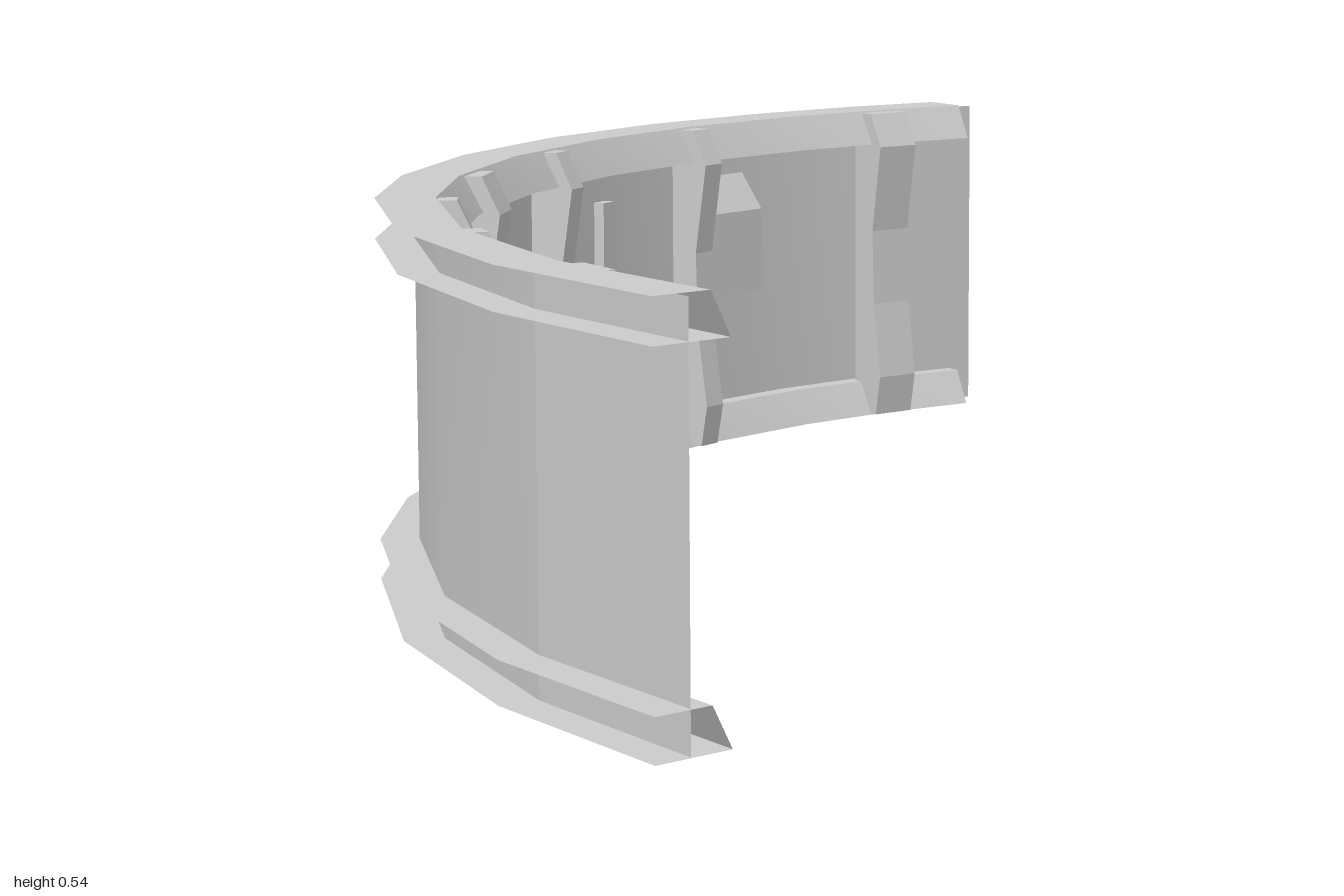
import * as THREE from 'three';

const CX = 0.78, CZ = 0.84; // centre of the arc
const RAD = Math.PI / 180;
// Bend angles, from the -x end round to the back
const BENDS = [8.4, 20.8, 33.8, 43.9, 54.3, 64.5, 74, 83, 90];

const surface = new THREE.MeshStandardMaterial({ color: 0xcccccc, side: THREE.DoubleSide });
const solid = new THREE.MeshStandardMaterial({ color: 0xcccccc, flatShading: true });

// Ribbon following the arc between two (radius, height) points
function strip(name, [r1, y1], [r2, y2], angles) {
  const pos = [], idx = [];
  angles.forEach((a, i) => {
    const c = Math.cos(a * RAD), s = Math.sin(a * RAD);
    pos.push(CX - r1 * c, y1, CZ - r1 * s, CX - r2 * c, y2, CZ - r2 * s);
    if (i > 0) {
      const k = 2 * i;
      idx.push(k - 2, k - 1, k, k, k - 1, k + 1);
    }
  });
  const geo = new THREE.BufferGeometry();
  geo.setAttribute('position', new THREE.Float32BufferAttribute(pos, 3));
  geo.setIndex(idx);
  geo.computeVertexNormals();
  const mesh = new THREE.Mesh(geo, surface);
  mesh.name = name;
  return mesh;
}

// Extruded (radius, height) profile set on the arc at a given angle
function fitting(name, profile, width, angle) {
  const shape = new THREE.Shape(profile.map(([r, y]) => new THREE.Vector2(r, y)));
  const geo = new THREE.ExtrudeGeometry(shape, { depth: width, bevelEnabled: false });
  geo.translate(0, 0, -width / 2);
  const mesh = new THREE.Mesh(geo, solid);
  mesh.name = name;
  mesh.position.set(CX, 0, CZ);
  mesh.rotation.y = Math.PI - angle * RAD;
  return mesh;
}

export function createModel() {
  const model = new THREE.Group();

  // Curved wall, with a hard fold at the first bend
  model.add(strip('wallEnd', [1.725, 0], [1.725, 0.535], [-2.8, BENDS[0]]));
  model.add(strip('wall', [1.725, 0], [1.725, 0.535], [...BENDS, 97.3]));

  // Top and bottom rails: open channels with a sloping inner face
  const railAngles = [-2.9, ...BENDS, 95.8];
  for (const [name, y] of [['bottomRail', 0], ['topRail', 0.483]]) {
    const rail = new THREE.Group();
    rail.name = name;
    const profile = [[1.78, y], [1.665, y], [1.695, y + 0.057], [1.78, y + 0.057]];
    for (let i = 0; i < 3; i++) rail.add(strip(name + 'Face', profile[i], profile[i + 1], railAngles));
    model.add(rail);
  }

  // Upright ribs with a waisted inner edge, every third one wide
  const ribProfile = [[1.708, 0.002], [1.65, 0.002], [1.638, 0.07], [1.656, 0.2],
    [1.66, 0.33], [1.638, 0.48], [1.665, 0.537], [1.708, 0.537]];
  [6.6, 20.8, 34, 46, 58.3, 73.6, 89.7].forEach((angle, i) => {
    model.add(fitting('rib', ribProfile, i % 3 === 0 ? 0.08 : 0.045, angle));
  });

  // Slim upright bars between the ribs
  const barProfile = [[1.708, 0.095], [1.69, 0.095], [1.69, 0.435], [1.708, 0.435]];
  for (const angle of [27.6, 39.9, 52.2, 65.5]) {
    model.add(fitting('bar', barProfile, 0.034, angle));
  }

  // Wedge-topped boxes beside the outer narrow ribs
  const boxProfile = [[1.708, 0.25], [1.665, 0.25], [1.665, 0.39], [1.708, 0.45]];
  for (const angle of [17.6, 76.6]) {
    model.add(fitting('wallBox', boxProfile, 0.15, angle));
  }

  return model;
}
